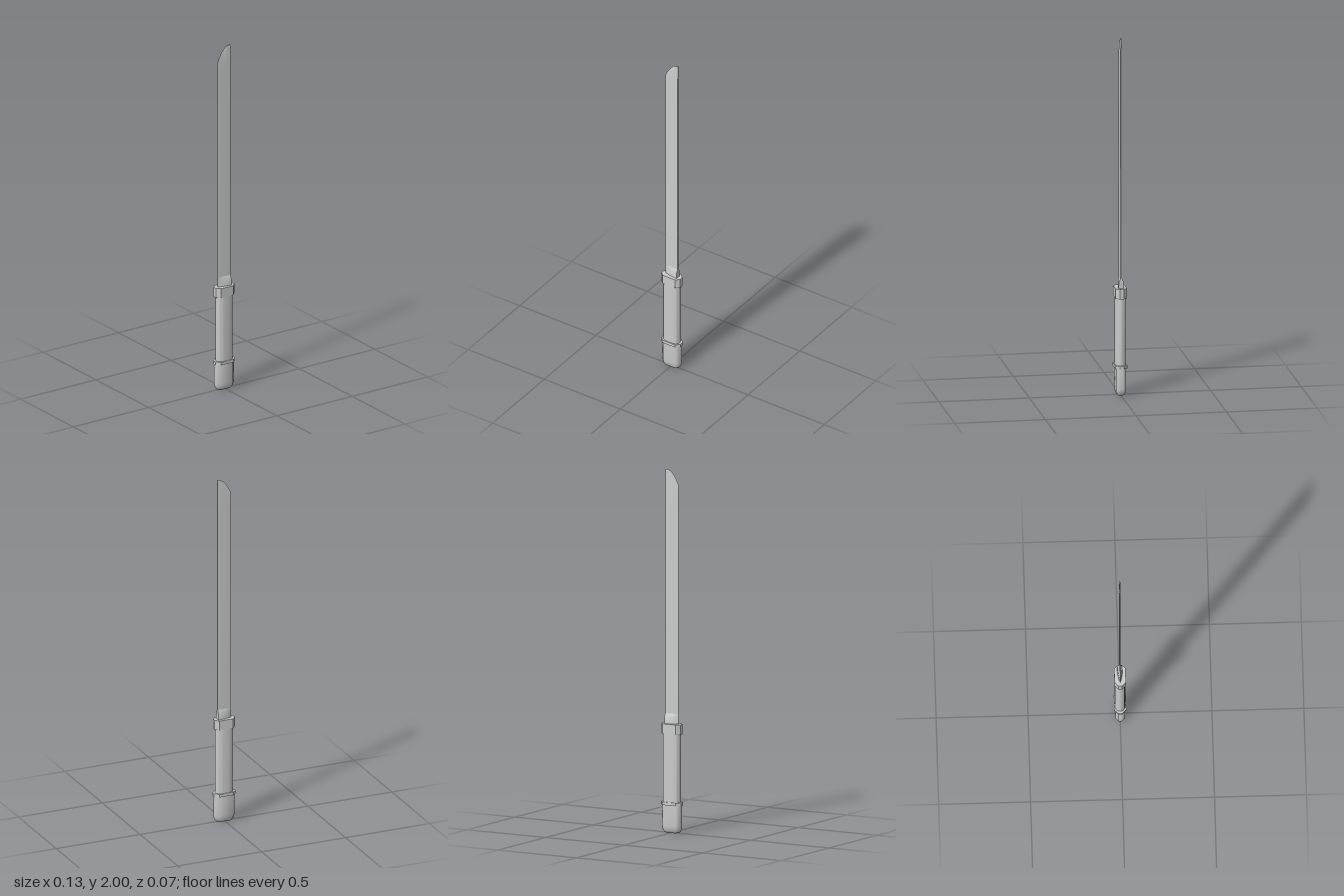
import * as THREE from 'three';
import { toCreasedNormals } from 'three/addons/utils/BufferGeometryUtils.js';

// Skins a stack of equal-sized point rings and closes both ends.
function loft(name, rings, crease) {
  const n = rings[0].length, pos = [], idx = [];
  rings.forEach(r => r.forEach(p => pos.push(...p)));
  for (let j = 0; j < rings.length - 1; j++) {
    for (let i = 0; i < n; i++) {
      const a = j * n + i, b = j * n + (i + 1) % n;
      idx.push(a, a + n, b, b, a + n, b + n);
    }
  }
  const top = (rings.length - 1) * n;
  for (let i = 1; i < n - 1; i++) {
    idx.push(0, i, i + 1, top, top + i + 1, top + i);
  }
  const geo = new THREE.BufferGeometry();
  geo.setAttribute('position', new THREE.Float32BufferAttribute(pos, 3));
  geo.setIndex(idx);
  const mesh = new THREE.Mesh(toCreasedNormals(geo, crease),
    new THREE.MeshStandardMaterial({ color: 0xcccccc }));
  mesh.name = name;
  return mesh;
}

// Long octagon with half sizes hx, hz at height y.
function octagon(y, hx, hz) {
  const cx = hx * 0.67, cz = hz * 0.33;
  return [[hx, cz], [cx, hz], [-cx, hz], [-hx, cz], [-hx, -cz], [-cx, -hz], [cx, -hz], [hx, -cz]]
    .map(([x, z]) => [x, y, z]);
}

// Rounded grip section (superellipse).
function oval(y, hx, hz) {
  return Array.from({ length: 24 }, (_, i) => {
    const t = i / 24 * Math.PI * 2, c = Math.cos(t), s = Math.sin(t);
    const f = v => Math.sign(v) * Math.abs(v) ** 0.75;
    return [hx * f(c), y, hz * f(s)];
  });
}

// Wedge section: flat spine at +x, sharp edge at -x; height(x) sets y.
const SPINE = 0.04, EDGE = -0.042;
function wedge(height, halfThick) {
  const side = [];
  for (let i = 0; i < 10; i++) {
    const u = i / 10;
    side.push([SPINE + (EDGE - SPINE) * u, halfThick * (1 - u ** 2.2)]);
  }
  const ring = [...side, [EDGE, 0], ...side.map(([x, z]) => [x, -z]).reverse()];
  return ring.map(([x, z]) => [x, height(x), z]);
}

export function createModel() {
  const model = new THREE.Group();
  model.name = 'sword';

  // Pommel with rounded end
  const pommel = [[0, 0.036, 0.014], [0.004, 0.046, 0.019], [0.012, 0.053, 0.022],
    [0.025, 0.058, 0.025], [0.04, 0.06, 0.026], [0.16, 0.06, 0.026]];
  model.add(loft('pommel', pommel.map(s => octagon(...s)), 0.9));

  // Collar between pommel and grip
  model.add(loft('collar', [[0.153, 0.063, 0.033], [0.17, 0.063, 0.033]].map(s => octagon(...s)), 0.6));

  // Grip
  model.add(loft('grip', [[0.165, 0.051, 0.029], [0.55, 0.051, 0.029]].map(s => oval(...s)), 1));

  // Guard
  model.add(loft('guard', [[0.545, 0.061, 0.031], [0.6, 0.061, 0.031]].map(s => octagon(...s)), 0.6));

  // Blade collar, narrowing into the blade
  model.add(loft('bladeCollar', [[0.595, 0.015], [0.638, 0.013], [0.656, 0.004]]
    .map(([y, t]) => wedge(() => y, t)), 0.9));

  // Blade with curved tip rising to the spine
  const tip = x => 2 - 0.085 * ((SPINE - x) / (SPINE - EDGE)) ** 2.2;
  model.add(loft('blade', [wedge(() => 0.6, 0.0045), wedge(() => 1.88, 0.004), wedge(tip, 0.002)], 0.7));

  return model;
}
